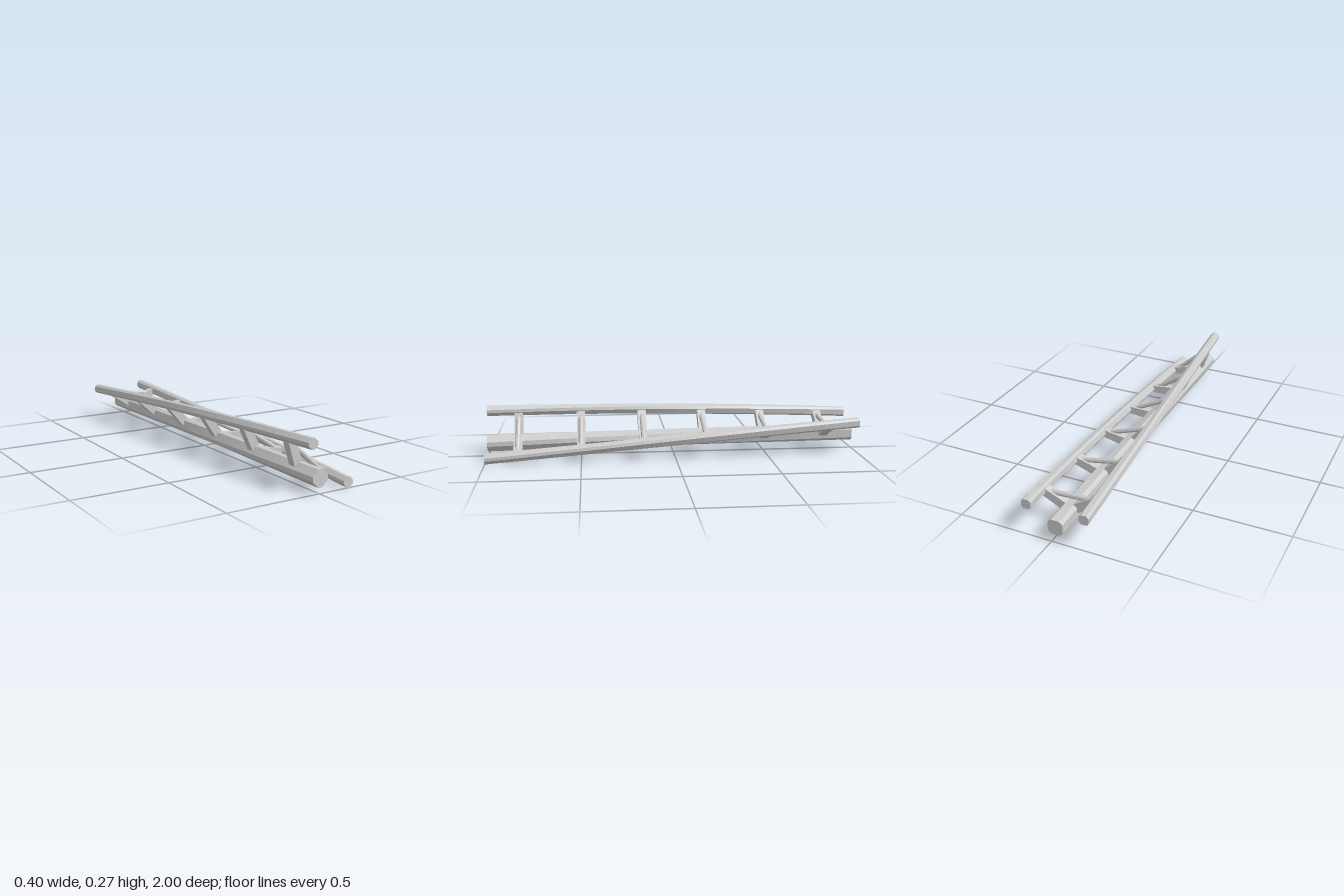
import * as THREE from 'three';

const AXIS = { x: -0.023, y: 0.045 }; // line the track rolls about
const RAIL = { x: 0.15, y: 0.124 };   // rail centre, relative to the roll axis
const SPINE_Y = 0.038;
const roll = z => -Math.PI / 8 * (z + 1);

const material = new THREE.MeshStandardMaterial({ color: 0xcccccc, flatShading: true });

// Square with cut corners: a = half width, c = corner cut
function chamferedShape(cx, cy, a, c) {
  const b = a - c;
  const pts = [[a, -b], [a, b], [b, a], [-b, a], [-a, b], [-a, -b], [-b, -a], [b, -a]];
  return new THREE.Shape(pts.map(([x, y]) => new THREE.Vector2(cx + x, cy + y)));
}

// Full-length beam, rolled progressively along z
function twistedBeam(name, shape) {
  const geo = new THREE.ExtrudeGeometry(shape, { depth: 2, steps: 24, bevelEnabled: false });
  geo.translate(0, 0, -1);
  const p = geo.attributes.position;
  for (let i = 0; i < p.count; i++) {
    const x = p.getX(i), y = p.getY(i), z = p.getZ(i);
    const c = Math.cos(roll(z)), s = Math.sin(roll(z));
    p.setXY(i, AXIS.x + x * c - y * s, AXIS.y + x * s + y * c);
  }
  geo.computeVertexNormals();
  const mesh = new THREE.Mesh(geo, material);
  mesh.name = name;
  return mesh;
}

// Tapered arm from the spine to one rail
function arm(name, side) {
  const dx = RAIL.x, dy = RAIL.y - SPINE_Y, len = Math.hypot(dx, dy);
  const shape = new THREE.Shape([[0, -0.025], [len, -0.021], [len, 0.019], [0, 0.025]]
    .map(([x, y]) => new THREE.Vector2(x, y)));
  const geo = new THREE.ExtrudeGeometry(shape, { depth: 0.045, bevelEnabled: false });
  geo.translate(0, 0, -0.0225);
  geo.rotateZ(Math.atan2(dy, dx));
  if (side < 0) geo.rotateY(Math.PI);
  const mesh = new THREE.Mesh(geo, material);
  mesh.position.y = SPINE_Y;
  mesh.name = name;
  return mesh;
}

// Two arms and the round tie bar between them
function crossTie(z) {
  const tie = new THREE.Group();
  tie.name = 'crossTie';
  const bar = new THREE.Mesh(new THREE.CylinderGeometry(0.013, 0.013, 0.22, 8), material);
  bar.rotation.z = Math.PI / 2;
  bar.position.y = 0.11;
  bar.name = 'tieBar';
  tie.add(arm('leftArm', 1), arm('rightArm', -1), bar);
  tie.position.set(AXIS.x, AXIS.y, z);
  tie.rotation.z = roll(z);
  return tie;
}

export function createModel() {
  const track = new THREE.Group();
  track.name = 'twistedTrack';
  track.add(
    twistedBeam('spine', chamferedShape(0, SPINE_Y, 0.039, 0.0165)),
    twistedBeam('leftRail', chamferedShape(RAIL.x, RAIL.y, 0.0248, 0.0112)),
    twistedBeam('rightRail', chamferedShape(-RAIL.x, RAIL.y, 0.0248, 0.0112))
  );
  for (let i = 0; i < 6; i++) track.add(crossTie(-5 / 6 + i / 3));
  return track;
}
